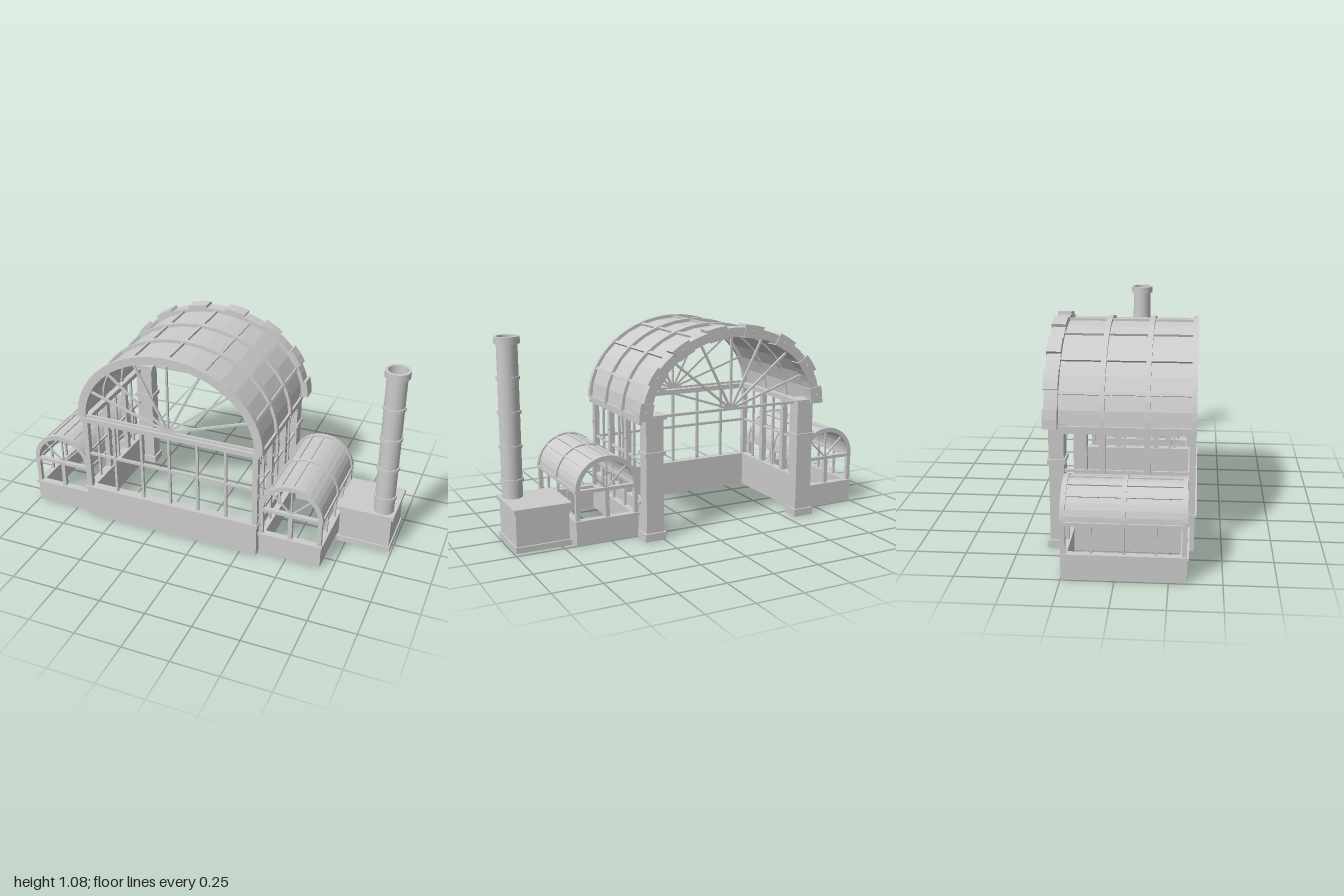
import * as THREE from 'three';

const stone = new THREE.MeshStandardMaterial({ color: 0xcccccc });
stone.name = 'pale grey';

function add(parent, name, geometry) {
  const mesh = new THREE.Mesh(geometry, stone);
  mesh.name = name;
  parent.add(mesh);
  return mesh;
}

function group(parent, name, x = 0, z = 0) {
  const g = new THREE.Group();
  g.name = name;
  g.position.set(x, 0, z);
  parent.add(g);
  return g;
}

// Box given by its limits on each axis
function box(parent, name, x0, x1, y0, y1, z0, z1) {
  const geometry = new THREE.BoxGeometry(x1 - x0, y1 - y0, z1 - z0);
  geometry.translate((x0 + x1) / 2, (y0 + y1) / 2, (z0 + z1) / 2);
  return add(parent, name, geometry);
}

// Elliptical arch band extruded along z; angles in degrees from +x
function arch(parent, name, y, outer, inner, z0, z1, a0, a1, n) {
  const points = [];
  const put = (r, i) => {
    const a = THREE.MathUtils.degToRad(a0 + ((a1 - a0) * i) / n);
    points.push(new THREE.Vector2(r[0] * Math.cos(a), y + r[1] * Math.sin(a)));
  };
  for (let i = 0; i <= n; i++) put(outer, i);
  for (let i = n; i >= 0; i--) put(inner, i);
  const geometry = new THREE.ExtrudeGeometry(new THREE.Shape(points), { depth: z1 - z0, bevelEnabled: false });
  geometry.translate(0, 0, z0);
  return add(parent, name, geometry);
}

// Spokes from the middle of an arch to its rim
function fan(parent, y, r, z, angles, w) {
  for (const deg of angles) {
    const a = THREE.MathUtils.degToRad(deg);
    const dx = r[0] * Math.cos(a), dy = r[1] * Math.sin(a);
    const spoke = add(parent, 'fanSpoke', new THREE.BoxGeometry(Math.hypot(dx, dy), w, w));
    spoke.position.set(dx / 2, y + dy / 2, z);
    spoke.rotation.z = Math.atan2(dy, dx);
  }
}

// Bars running along a vault
function purlins(parent, y, r, z0, z1, angles, w) {
  for (const deg of angles) {
    const a = THREE.MathUtils.degToRad(deg);
    const bar = add(parent, 'roofBar', new THREE.BoxGeometry(w, w, z1 - z0));
    bar.position.set(r[0] * Math.cos(a), y + r[1] * Math.sin(a), (z0 + z1) / 2);
    bar.rotation.z = Math.atan2(r[0] * Math.sin(a), r[1] * Math.cos(a));
  }
}

function bolt(parent, x, y, z, axis) {
  const b = add(parent, 'bolt', new THREE.CylinderGeometry(0.007, 0.007, 0.014, 10));
  b.position.set(x, y, z);
  if (axis === 'x') b.rotation.z = Math.PI / 2;
  else b.rotation.x = Math.PI / 2;
}

function buildHall(root) {
  const hall = group(root, 'mainHall', -0.155);
  // Front wall with sill, glazing bars and top beam
  box(hall, 'frontBaseWall', -0.497, 0.497, 0, 0.182, 0.335, 0.365);
  box(hall, 'frontSill', -0.505, 0.505, 0.18, 0.195, 0.325, 0.375);
  box(hall, 'frontMidRail', -0.49, 0.49, 0.396, 0.41, 0.344, 0.358);
  box(hall, 'frontBeam', -0.505, 0.505, 0.6, 0.627, 0.335, 0.367);
  box(hall, 'frontTopRail', -0.5, 0.5, 0.632, 0.643, 0.345, 0.36);
  for (const x of [-0.32, -0.16, 0, 0.16, 0.32])
    box(hall, 'frontMullion', x - 0.007, x + 0.007, 0.19, 0.61, 0.344, 0.358);
  for (const s of [-1, 1]) {
    const side = (name, a, b, ...rest) => box(hall, name, Math.min(s * a, s * b), Math.max(s * a, s * b), ...rest);
    // Side walls
    side('sideBaseWall', 0.467, 0.497, 0, 0.182, -0.27, 0.335);
    side('sideSill', 0.46, 0.505, 0.18, 0.195, -0.275, 0.33);
    side('sideMidRail', 0.478, 0.49, 0.398, 0.41, -0.28, 0.345);
    side('sideBeam', 0.47, 0.515, 0.6, 0.627, -0.295, 0.366);
    for (const z of [0.35, 0.132, -0.086]) {
      side('sidePost', 0.47, 0.499, 0.19, 0.605, z - 0.015, z + 0.015);
      for (const y of [0.25, 0.37, 0.49]) bolt(hall, s * 0.498, y, z, 'x');
      bolt(hall, s * 0.514, 0.61, z, 'x');
    }
    for (const z of [0.24, 0.023, -0.166])
      side('sideMullion', 0.478, 0.49, 0.19, 0.605, z - 0.006, z + 0.006);
    // Rear pillars
    side('pillar', 0.402, 0.498, 0.03, 0.635, -0.345, -0.271);
    side('pillarBase', 0.392, 0.508, 0, 0.04, -0.356, -0.26);
    side('pillarBand', 0.393, 0.507, 0.443, 0.464, -0.353, -0.263);
    side('pillarCap', 0.39, 0.51, 0.63, 0.652, -0.357, -0.26);
  }
  box(hall, 'rearTieBar', -0.4, 0.4, 0.632, 0.645, -0.325, -0.31);

  // Vaulted roof: facetted skin, ribs, bars and fans
  const y = 0.63;
  arch(hall, 'roofSkin', y, [0.508, 0.418], [0.498, 0.408], -0.3, 0.345, 0, 180, 16);
  arch(hall, 'frontArch', y, [0.523, 0.435], [0.477, 0.392], 0.34, 0.367, 0, 180, 32);
  for (const z of [0.132, -0.086])
    arch(hall, 'roofRib', y, [0.523, 0.435], [0.488, 0.4], z - 0.013, z + 0.013, 0, 180, 32);
  const steps = [0, 1, 2, 3, 4, 5, 6, 7, 8].map((i) => i * 22.5);
  purlins(hall, y, [0.511, 0.421], -0.3, 0.345, steps, 0.016);
  fan(hall, y + 0.008, [0.482, 0.39], 0.352, steps.slice(1, 8), 0.011);
  fan(hall, y + 0.008, [0.482, 0.39], -0.318, steps.slice(1, 8), 0.011);

  // Rear arch of alternating blocks
  for (let i = 0; i < 15; i++) {
    const big = i % 2 === 0;
    arch(hall, 'archBlock', y, big ? [0.545, 0.452] : [0.528, 0.437], big ? [0.472, 0.385] : [0.478, 0.39],
      big ? -0.367 : -0.362, -0.295, i * 12, i * 12 + 12, 2);
    const a = THREE.MathUtils.degToRad(i * 12 + 6);
    if (big) bolt(hall, 0.51 * Math.cos(a), y + 0.42 * Math.sin(a), -0.367, 'z');
  }
}

function buildWing(root, name, x) {
  const wing = group(root, name, x, 0.043);
  const h = 0.17, d = 0.291;
  for (const s of [-1, 1]) {
    const alongX = (n, w, y0, y1, a, b) => box(wing, n, -w, w, y0, y1, Math.min(s * a, s * b), Math.max(s * a, s * b));
    const alongZ = (n, w, y0, y1, a, b) => box(wing, n, Math.min(s * a, s * b), Math.max(s * a, s * b), y0, y1, -w, w);
    // Low walls, sills and beams
    alongX('endBaseWall', h, 0, 0.118, d - 0.025, d);
    alongZ('sideBaseWall', d - 0.025, 0, 0.118, h - 0.025, h);
    alongX('endSill', h + 0.007, 0.115, 0.13, d - 0.03, d + 0.009);
    alongZ('sideSill', d - 0.03, 0.115, 0.13, h - 0.03, h + 0.007);
    alongX('endBeam', h + 0.003, 0.268, 0.286, d - 0.024, d);
    alongZ('sideBeam', d - 0.024, 0.268, 0.286, h - 0.02, h + 0.003);
    // Posts and mullions
    for (const px of [-h + 0.011, 0, h - 0.011])
      box(wing, 'endPost', px - 0.011, px + 0.011, 0.125, 0.27, s * (d - 0.012) - 0.011, s * (d - 0.012) + 0.011);
    for (const z of [-0.15, 0, 0.15])
      box(wing, 'sideMullion', s * (h - 0.012) - 0.006, s * (h - 0.012) + 0.006, 0.125, 0.27, z - 0.006, z + 0.006);
    // End arches
    const z = s * (d - 0.012);
    arch(wing, 'endArch', 0.28, [0.173, 0.17], [0.148, 0.145], z - 0.012, z + 0.012, 0, 180, 24);
    fan(wing, 0.28, [0.152, 0.149], z, [45, 90, 135], 0.008);
  }
  // Small vault
  arch(wing, 'wingRoofSkin', 0.28, [0.165, 0.162], [0.158, 0.155], -d + 0.015, d - 0.015, 0, 180, 16);
  arch(wing, 'wingRib', 0.28, [0.173, 0.17], [0.153, 0.15], -0.011, 0.011, 0, 180, 24);
  purlins(wing, 0.28, [0.166, 0.163], -d + 0.015, d - 0.015, [45, 67.5, 90, 112.5, 135], 0.01);
}

function buildChimney(root) {
  const chimney = group(root, 'chimney');
  box(chimney, 'chimneyPlinth', 0.7, 0.99, 0, 0.03, -0.216, 0.073);
  box(chimney, 'chimneyHouse', 0.707, 0.983, 0.025, 0.205, -0.206, 0.065);
  box(chimney, 'chimneyHouseCap', 0.695, 0.996, 0.203, 0.224, -0.22, 0.078);
  // Hollow stack with bands and a wider rim
  const profile = [[0.042, 0.9], [0.05, 1.046], [0.065, 1.046], [0.065, 1.01], [0.053, 1.01], [0.053, 0.22]];
  const points = profile.map(([r, y]) => new THREE.Vector2(r, y)).reverse();
  points[points.length - 1].x = 0.0001;
  points.splice(points.length - 1, 0, new THREE.Vector2(0.047, 0.9));
  // Each straight run is its own surface, so the rims stay crisp
  for (let i = 0; i < points.length - 1; i++)
    add(chimney, 'stack', new THREE.LatheGeometry([points[i], points[i + 1]], 28)).position.set(0.929, 0, 0.013);
  for (const y of [0.315, 0.49, 0.665, 0.84])
    add(chimney, 'stackBand', new THREE.CylinderGeometry(0.06, 0.06, 0.016, 28)).position.set(0.929, y, 0.013);
}

export function createModel() {
  const model = new THREE.Group();
  model.name = 'glasshouse';
  buildHall(model);
  buildWing(model, 'leftWing', 0.515);
  buildWing(model, 'rightWing', -0.825);
  buildChimney(model);
  return model;
}
